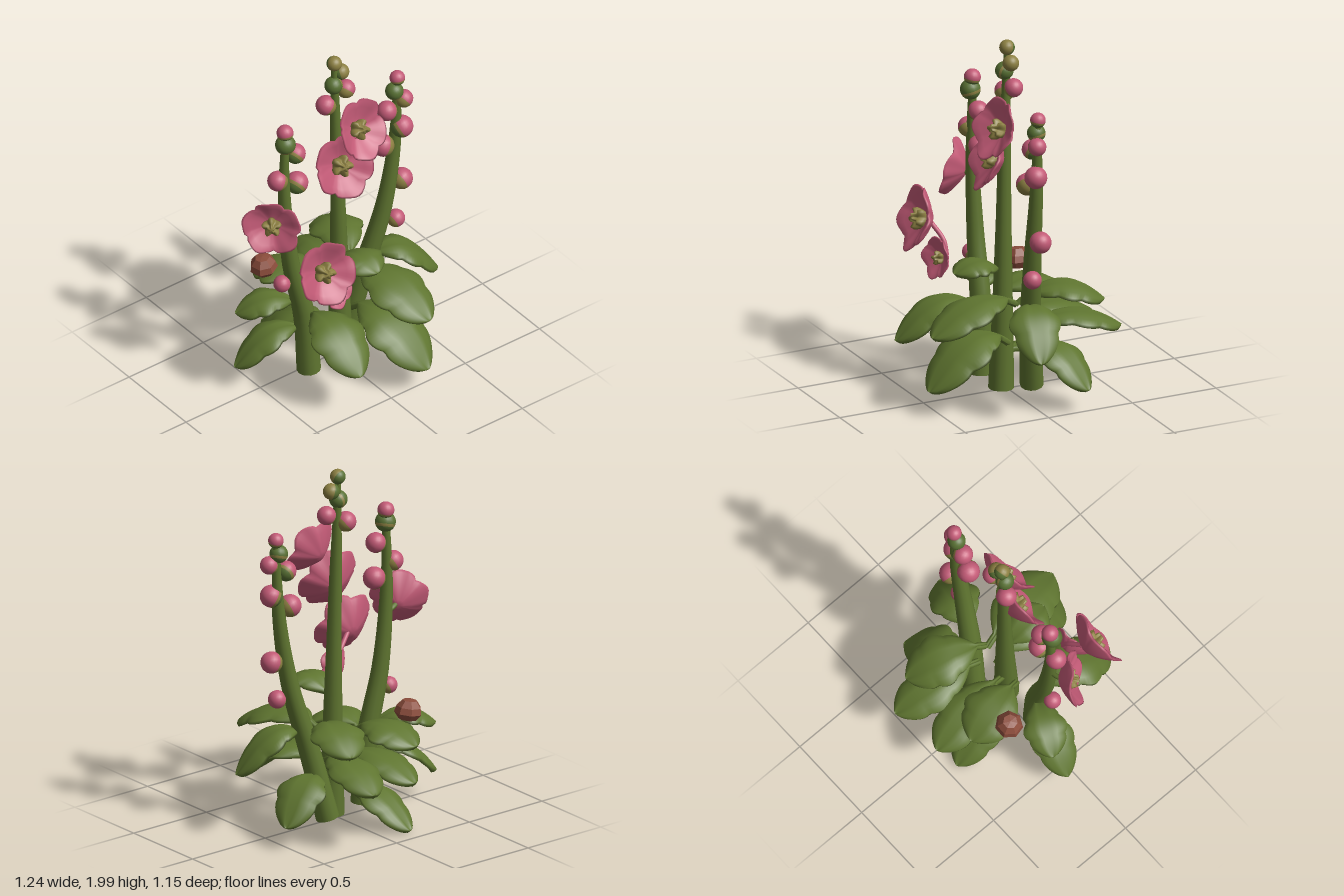
import * as THREE from 'three';
import { mergeVertices } from 'three/addons/utils/BufferGeometryUtils.js';

const V = (a) => new THREE.Vector3(...a);
const UP = new THREE.Vector3(0, 1, 0);
const mat = (name, color) => new THREE.MeshStandardMaterial({ name, color });

export function createModel() {
  const green = mat('leaf green', 0x5f7530);
  const pink = mat('petal pink', 0xc25a76);
  const olive = mat('stamen olive', 0x8c8042);
  const budGreen = mat('bud green', 0x587033);
  const brown = mat('dry bud brown', 0x8c4d3c);
  const model = new THREE.Group();

  const add = (name, geo, material, parent = model) => {
    const m = new THREE.Mesh(geo, material);
    m.name = name;
    parent.add(m);
    return m;
  };

  // Tapered tube along a path, closed at the foot
  function stalk(name, pts, radii, material) {
    const curve = new THREE.CatmullRomCurve3(pts.map(V));
    const seg = 24, sides = 12;
    const geo = new THREE.TubeGeometry(curve, seg, 1, sides);
    const pos = geo.attributes.position, p = new THREE.Vector3();
    for (let i = 0; i <= seg; i++) {
      const c = curve.getPointAt(i / seg);
      const k = (i / seg) * (radii.length - 1), a = Math.min(Math.floor(k), radii.length - 2);
      const r = THREE.MathUtils.lerp(radii[a], radii[a + 1], k - a);
      for (let j = 0; j <= sides; j++) {
        const n = i * (sides + 1) + j;
        p.fromBufferAttribute(pos, n).sub(c).multiplyScalar(r).add(c);
        pos.setXYZ(n, p.x, p.y, p.z);
      }
    }
    const g = new THREE.Group();
    g.name = name;
    model.add(g);
    add(name + 'Shaft', geo, material, g);
    const foot = add(name + 'Foot', new THREE.CircleGeometry(radii[0], sides), material, g);
    foot.position.copy(V(pts[0]));
    foot.quaternion.setFromUnitVectors(new THREE.Vector3(0, 0, 1), curve.getTangentAt(0).negate());
  }

  // Arched, lobed leaf swept from base to a blunt tip
  function leaf(base, tip, peak, halfWidth) {
    const b = V(base), e = V(tip);
    const mid = b.clone().lerp(e, 0.5);
    mid.y = 2 * peak - (b.y + e.y) / 2;
    const curve = new THREE.QuadraticBezierCurve3(b, mid, e);
    const side = e.clone().sub(b).setY(0).normalize().cross(UP);
    const rows = 36, cols = 8, ring = 2 * (cols + 1), pos = [], idx = [];
    for (let i = 0; i <= rows; i++) {
      const t = Math.sin((i / rows) * Math.PI / 2);
      const c = curve.getPoint(t), tan = curve.getTangent(t);
      const up = side.clone().cross(tan).normalize();
      const s = Math.max(0, (t - 0.12) / 0.88);
      const lobe = 0.82 + 0.18 * Math.sqrt(Math.abs(Math.sin(2.8 * Math.PI * s)));
      const blade = Math.pow(Math.max(0, Math.sin(Math.PI * Math.pow(s, 1.25))), 0.5);
      const w = Math.max(t < 0.95 ? 0.018 : 0, halfWidth * lobe * blade);
      for (let k = 0; k < ring; k++) {
        const top = k <= cols;
        const u = ((top ? k : ring - 1 - k) / cols) * 2 - 1;
        const h = (top ? 1 : -1) * 0.014 * (1 - 0.4 * u * u) - 0.28 * w * u * u - 0.01 * Math.exp(-30 * u * u);
        const p = c.clone().addScaledVector(side, u * w).addScaledVector(up, h);
        pos.push(p.x, p.y, p.z);
      }
    }
    for (let i = 0; i < rows; i++) for (let k = 0; k < ring; k++) {
      const a = i * ring + k, n = i * ring + ((k + 1) % ring);
      idx.push(a, n, a + ring, n, n + ring, a + ring);
    }
    const geo = new THREE.BufferGeometry();
    geo.setAttribute('position', new THREE.Float32BufferAttribute(pos, 3));
    geo.setIndex(idx);
    geo.computeVertexNormals();
    add('leaf', geo, green);
  }

  // Lathe whose vertices are moved by a rule of angle and radius
  function ruffled(profile, size, rule) {
    let geo = new THREE.LatheGeometry(profile.map(([x, y]) => new THREE.Vector2(x, y)), 50);
    geo.deleteAttribute('normal');
    geo.deleteAttribute('uv');
    const pos = geo.attributes.position;
    for (let i = 0; i < pos.count; i++) {
      const x = pos.getX(i), z = pos.getZ(i);
      const [f, dy] = rule(Math.atan2(x, z), Math.hypot(x, z));
      pos.setXYZ(i, x * f * size, (pos.getY(i) + dy) * size, z * f * size);
    }
    geo = mergeVertices(geo);
    geo.computeVertexNormals();
    return geo;
  }

  // Cupped five-petalled flower facing along dir
  function flower(at, dir, size) {
    const g = new THREE.Group();
    g.name = 'flower';
    g.position.copy(V(at));
    g.quaternion.setFromUnitVectors(UP, V(dir).normalize());
    model.add(g);
    const petals = [[0, -0.42], [0.2, -0.38], [0.5, -0.23], [0.78, -0.04], [0.97, 0.12], [1.03, 0.19],
      [0.96, 0.21], [0.75, 0.1], [0.5, -0.02], [0.25, -0.12], [0, -0.14]];
    add('petals', ruffled(petals, size, (a, r) => {
      const lobe = Math.sqrt(Math.abs(Math.cos(2.5 * a)));
      const wobble = 0.03 * Math.sin(2 * a + 1) + 0.02 * Math.sin(9 * a);
      return [1 - 0.14 * (1 - lobe) * r + wobble * r, r * r * (0.06 * Math.cos(5 * a) + 0.06 * Math.sin(3 * a))];
    }), pink, g);
    const stamen = [[0, -0.2], [0.28, -0.12], [0.31, 0.02], [0.27, 0.16], [0.14, 0.14], [0.11, 0.28], [0, 0.3]];
    add('stamens', ruffled(stamen, size, (a, r) => [1 + 0.18 * Math.cos(5 * a), r * 0.2 * Math.cos(5 * a)]), olive, g);
  }

  // Round bud: petals on the outer side, a thin olive rim, then the calyx
  function bud(x, y, z, r, dir, petal, rim, calyx) {
    const g = new THREE.Group();
    g.name = 'bud';
    g.position.set(x, y, z);
    g.quaternion.setFromUnitVectors(UP, V(dir).normalize());
    model.add(g);
    const band = (name, from, to, m) =>
      add(name, new THREE.SphereGeometry(r, 18, 8, 0, Math.PI * 2, from, to - from), m, g);
    band('budPetals', 0, 1.75, petal);
    band('budRim', 1.75, 2.05, rim);
    band('budCalyx', 2.05, Math.PI, calyx);
  }

  // Three flower stems
  stalk('middleStem', [[0.01, 0.02, 0.04], [0.01, 0.6, 0.03], [0.005, 1.2, 0.02], [0, 1.6, 0.01], [0, 1.94, 0]],
    [0.07, 0.055, 0.042, 0.033, 0.016], green);
  stalk('rightStem', [[-0.21, 0.03, 0.05], [-0.235, 0.4, 0.04], [-0.32, 0.8, 0.03], [-0.36, 1.25, 0.03], [-0.355, 1.66, 0.03]],
    [0.066, 0.058, 0.046, 0.034, 0.018], green);
  stalk('leftStem', [[0.135, 0.06, -0.08], [0.22, 0.45, -0.03], [0.325, 0.85, 0.01], [0.39, 1.25, 0.02], [0.41, 1.66, 0.02]],
    [0.064, 0.058, 0.048, 0.036, 0.018], green);

  // Leaves: base, tip, peak height, half width
  [
    [[0.08, 0.3, 0.03], [0.2, 0.14, 0.56], 0.38, 0.19],
    [[0.12, 0.53, 0.0], [0.22, 0.45, 0.55], 0.6, 0.17],
    [[0.22, 0.52, -0.01], [0.61, 0.36, 0.1], 0.58, 0.14],
    [[0.17, 0.27, -0.06], [0.53, 0.13, -0.22], 0.33, 0.14],
    [[-0.22, 0.4, 0.06], [-0.24, 0.28, 0.54], 0.48, 0.16],
    [[-0.22, 0.28, 0.03], [-0.61, 0.15, -0.07], 0.34, 0.12],
    [[-0.24, 0.45, 0.02], [-0.56, 0.45, -0.13], 0.54, 0.12],
    [[-0.12, 0.48, 0.0], [-0.21, 0.47, -0.4], 0.56, 0.16],
    [[-0.01, 0.35, 0.0], [-0.09, 0.33, -0.54], 0.44, 0.14],
    [[0.13, 0.38, -0.05], [0.21, 0.34, -0.57], 0.45, 0.14],
    [[0.13, 0.54, 0.0], [0.27, 0.53, -0.44], 0.64, 0.15],
    [[-0.04, 0.18, 0.0], [-0.14, 0.02, -0.44], 0.2, 0.13],
    [[0.01, 0.66, 0.03], [0.04, 0.72, 0.33], 0.77, 0.13],
  ].forEach((l) => leaf(...l));

  // Open flowers: centre, facing, radius
  [
    [[0.09, 1.53, 0.1], [0.15, 0.45, 1], 0.165],
    [[-0.02, 1.33, 0.09], [-0.15, 0.35, 1], 0.175],
    [[-0.475, 1.12, 0.07], [-0.65, 0.2, 0.75], 0.155],
    [[-0.34, 0.92, 0.355], [-0.1, 0.32, 1], 0.175],
    [[-0.22, 0.725, 0.3], [0.2, 0.2, 1], 0.11],
  ].forEach((f) => flower(...f));
  stalk('flowerStalk', [[-0.2, 0.74, 0.26], [-0.23, 0.82, 0.265], [-0.31, 0.9, 0.3]], [0.013, 0.013], pink);
  stalk('sideFlowerStalk', [[-0.355, 1.08, 0.03], [-0.4, 1.1, 0.03], [-0.46, 1.12, 0.05]], [0.014, 0.014], green);

  // Buds: x, y, z, radius, outward direction, petal, rim and calyx colours
  const open = [pink, olive, budGreen], pale = [pink, olive, olive], closed = [budGreen, olive, budGreen];
  const tip = [olive, budGreen, budGreen], whole = [pink, pink, olive];
  [
    [0, 1.955, 0, 0.042, [0.2, 0.4, 1], tip],
    [0.045, 1.88, 0, 0.045, [1, 0.3, 0.5], tip],
    [-0.012, 1.82, 0.01, 0.05, [-1, 0.2, 0.3], closed],
    [0.078, 1.75, 0, 0.052, [0.8, 0.7, -0.3], pale],
    [-0.048, 1.69, -0.01, 0.056, [-0.8, 0.7, -0.3], pale],
    [-0.355, 1.67, 0.03, 0.046, [0, 1, -0.2], open],
    [-0.36, 1.6, 0.04, 0.056, [-0.3, 1, 0.2], closed],
    [-0.285, 1.5, 0.03, 0.056, [1, 0.7, -0.3], open],
    [-0.405, 1.37, 0.03, 0.056, [-1, 0.6, -0.2], pale],
    [-0.275, 1.3, 0.03, 0.062, [1, 0.7, -0.3], open],
    [-0.375, 0.665, 0.03, 0.047, [-1, 0.4, 0], whole],
    [0.41, 1.68, 0.02, 0.042, [0, 1, -0.2], open],
    [0.39, 1.6, 0.02, 0.05, [-0.3, 1, 0.2], closed],
    [0.44, 1.54, 0.04, 0.05, [1, 0.7, -0.1], pale],
    [0.34, 1.49, 0.02, 0.056, [-1, 0.5, 0.3], open],
    [0.425, 1.36, 0.04, 0.062, [1, 0.6, 0.4], open],
    [0.305, 1.28, 0.03, 0.062, [-1, 0.5, -0.3], pale],
    [0.44, 0.99, 0.02, 0.06, [1, 0.4, 0], pale],
    [0.385, 0.76, 0.04, 0.05, [1, 0.4, 0], whole],
  ].forEach(([x, y, z, r, dir, colours]) => bud(x, y, z, r, dir, ...colours));

  // Faceted withered bud resting among the back leaves
  const dryProfile = [[0, -0.06], [0.05, -0.055], [0.077, -0.02], [0.068, 0.015], [0.04, 0.05], [0, 0.055]];
  const dryGeo = new THREE.LatheGeometry(dryProfile.map((p) => new THREE.Vector2(...p)), 7).toNonIndexed();
  dryGeo.computeVertexNormals();
  const dry = add('witheredBud', dryGeo, brown);
  dry.position.set(-0.31, 0.615, -0.22);
  dry.rotation.z = 0.15;

  return model;
}
